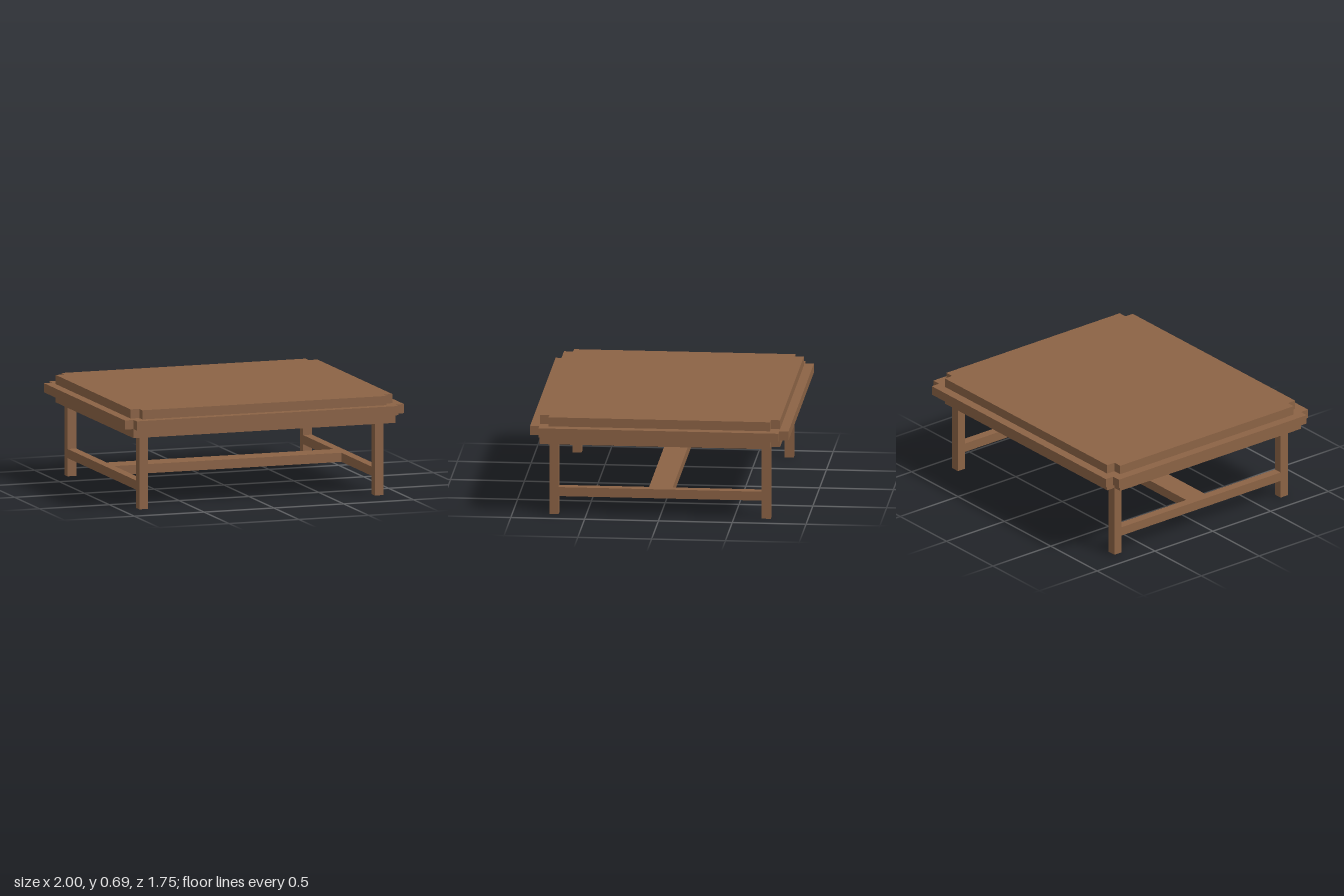
import * as THREE from 'three';

const U = 0.0625; // thickness of every board and post

export function createModel() {
  const table = new THREE.Group();
  table.name = 'lowTable';
  const wood = new THREE.MeshStandardMaterial({ color: 0x8c6345 });
  wood.name = 'brown wood';

  function add(name, geometry, x, y, z) {
    const mesh = new THREE.Mesh(geometry, wood);
    mesh.name = name;
    mesh.position.set(x, y, z);
    table.add(mesh);
  }

  // Flat slab with square notches of one unit cut from its corners
  function slab(name, hx, hz, y, frontNotch, backNotch) {
    const f = frontNotch ? U : 0;
    const b = backNotch ? U : 0;
    const half = [[hx - f, -hz], [hx - f, -hz + f], [hx, -hz + f],
      [hx, hz - b], [hx - b, hz - b], [hx - b, hz]];
    const outline = [...half, ...half.map(([x, z]) => [-x, z]).reverse()]
      .map(([x, z]) => new THREE.Vector2(x, z))
      .filter((p, i, all) => i === 0 || !p.equals(all[i - 1]));
    const geometry = new THREE.ExtrudeGeometry(new THREE.Shape(outline), { depth: U, bevelEnabled: false });
    geometry.rotateX(-Math.PI / 2);
    add(name, geometry, 0, y, 0);
  }

  // Three stacked layers of the table top
  slab('lowerTop', 0.9375, 0.8125, 0.5, false, true);
  slab('middleTop', 1, 0.875, 0.5 + U, true, true);
  slab('upperTop', 0.9375, 0.8125, 0.5 + 2 * U, true, true);

  // Legs and the stretchers joining them on each side
  const legX = 0.875 - U / 2;
  const legZ = 0.75 - U / 2;
  const barY = 0.125 + U / 2;
  for (const [side, sx] of [['left', 1], ['right', -1]]) {
    for (const [end, sz] of [['Front', 1], ['Back', -1]]) {
      add(side + end + 'Leg', new THREE.BoxGeometry(U, 0.5, U), sx * legX, 0.25, sz * legZ);
    }
    add(side + 'Stretcher', new THREE.BoxGeometry(U, U, 2 * legZ - U), sx * legX, barY, 0);
  }

  // Centre bar between the stretchers
  add('centreBar', new THREE.BoxGeometry(2 * legX - U, U, 0.16), 0, barY, 0);

  return table;
}
